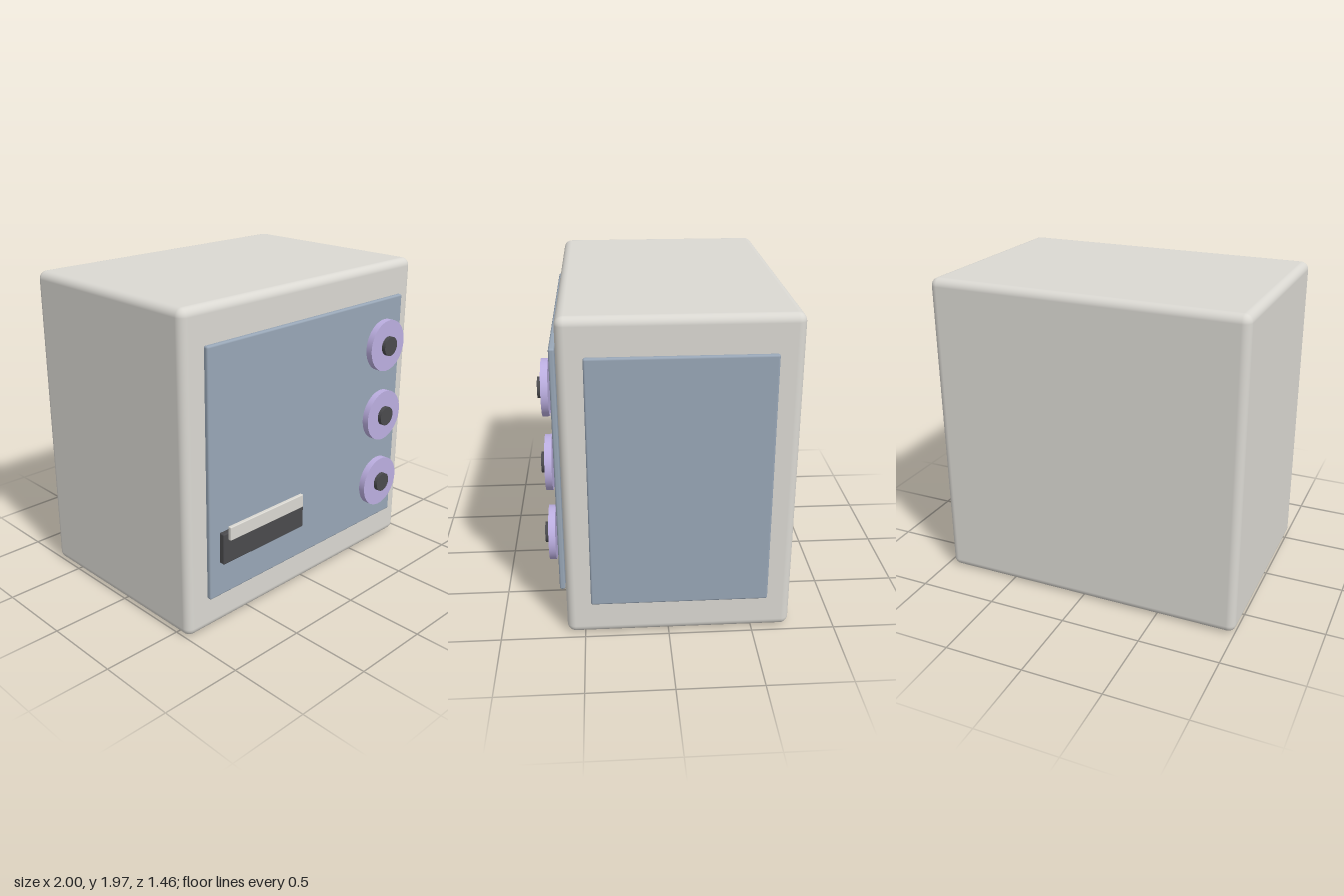
import * as THREE from 'three';
import { RoundedBoxGeometry } from 'three/addons/geometries/RoundedBoxGeometry.js';

const paint = (color) => new THREE.MeshStandardMaterial({ color });

export function createModel() {
  const model = new THREE.Group();
  const cream = paint(0xdad8d2);
  const blue = paint(0x98a6b6);
  const lilac = paint(0xbbaee0);
  const dark = paint(0x4a4a4d);

  // Rounded box given by its extents on each axis
  function block(name, [x0, x1], [y0, y1], [z0, z1], radius, material) {
    const geometry = new RoundedBoxGeometry(x1 - x0, y1 - y0, z1 - z0, 4, radius);
    const mesh = new THREE.Mesh(geometry, material);
    mesh.position.set((x0 + x1) / 2, (y0 + y1) / 2, (z0 + z1) / 2);
    mesh.name = name;
    model.add(mesh);
  }

  // Short cylinder facing the front
  function disc(name, radius, z0, z1, material) {
    const geometry = new THREE.CylinderGeometry(radius, radius, z1 - z0, 48).rotateX(Math.PI / 2);
    const mesh = new THREE.Mesh(geometry, material);
    mesh.position.z = (z0 + z1) / 2;
    mesh.name = name;
    return mesh;
  }

  // Cabinet with its front and side panels
  block('cabinet', [-1, 0.965], [0, 1.965], [-0.73, 0.607], 0.05, cream);
  block('frontPanel', [-0.861, 0.826], [0.222, 1.753], [0.616, 0.65], 0.012, blue);
  block('sidePanel', [0.967, 1], [0.222, 1.753], [-0.585, 0.461], 0.012, blue);

  // Slot plate with a light strip along its top
  block('slotPlate', [-0.805, -0.136], [0.457, 0.652], [0.667, 0.705], 0.008, dark);
  block('slotStrip', [-0.773, -0.166], [0.61, 0.695], [0.705, 0.729], 0.005, cream);

  // Column of three dials
  for (const y of [0.513, 0.987, 1.46]) {
    const dial = new THREE.Group();
    dial.name = 'dial';
    dial.add(disc('dialPlate', 0.166, 0.664, 0.705, lilac));
    dial.add(disc('dialKnob', 0.062, 0.69, 0.73, dark));
    dial.position.set(0.631, y, 0);
    model.add(dial);
  }

  return model;
}
